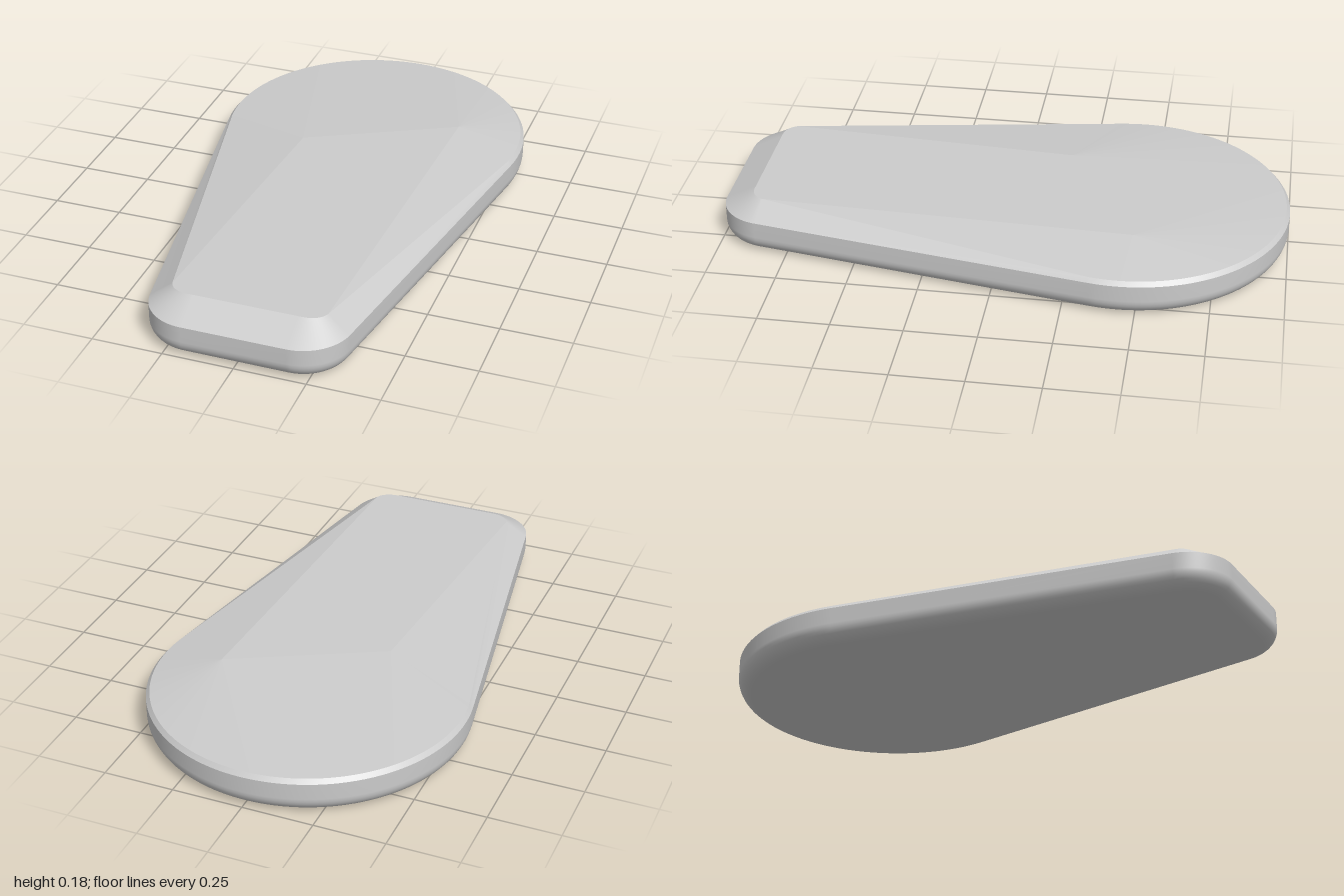
import * as THREE from 'three';

const V = (x, y, z) => new THREE.Vector3(x, y, z);
const BACK_R = 0.563, BACK_Z = -0.437;   // large rounded back
const FRONT_R = 0.17, FRONT_Z = 0.83;    // small front corners
const TILT = 0.17;                       // angle of the tapering sides
const TOP = 0.176, RIM = 0.12;
const FRONT_X = (BACK_R - FRONT_R - (FRONT_Z - BACK_Z) * Math.sin(TILT)) / Math.cos(TILT);
const CORNER = 16, BACK = 72;

// Outline: three tangent arcs, each sample holding its centre, radius, normal angle
const outline = [];
function arc(cx, cz, r, from, to, n, front) {
  for (let i = 0; i <= n; i++) outline.push({ cx, cz, r, a: from + (to - from) * i / n, front });
}
arc(FRONT_X, FRONT_Z, FRONT_R, TILT, Math.PI / 2, CORNER, true);
arc(-FRONT_X, FRONT_Z, FRONT_R, Math.PI / 2, Math.PI - TILT, CORNER, true);
arc(0, BACK_Z, BACK_R, Math.PI - TILT, 2 * Math.PI + TILT, BACK, false);

// Outline ring pulled in by an inset at a height (both may vary along it)
function ring(inset, height) {
  return outline.map((o) => {
    const r = o.r - inset(o);
    return V(o.cx + r * Math.cos(o.a), height(o), o.cz + r * Math.sin(o.a));
  });
}

// Smooth surface through a stack of rings, lowest first
function loft(rings) {
  const n = outline.length, index = [];
  for (let k = 0; k < rings.length - 1; k++) {
    for (let i = 0; i < n; i++) {
      const j = (i + 1) % n, a = k * n, b = a + n;
      index.push(a + i, b + i, a + j, a + j, b + i, b + j);
    }
  }
  const g = new THREE.BufferGeometry().setFromPoints(rings.flat());
  g.setIndex(index);
  g.computeVertexNormals();
  return g;
}

// Faceted surface from a list of triangle corners
function facets(points) {
  const g = new THREE.BufferGeometry().setFromPoints(points);
  g.computeVertexNormals();
  return g;
}

export function createModel() {
  const group = new THREE.Group();
  const material = new THREE.MeshStandardMaterial({ color: 0xcccccc });
  const add = (name, geometry) => {
    const mesh = new THREE.Mesh(geometry, material);
    mesh.name = name;
    group.add(mesh);
  };

  // Side wall with a rounded lower edge
  const fillet = 0.062, rings = [];
  for (let i = 0; i <= 8; i++) {
    const t = i / 8 * Math.PI / 2;
    rings.push(ring(() => fillet * (1 - Math.sin(t)), () => fillet * (1 - Math.cos(t))));
  }
  const rim = ring(() => 0, () => RIM);
  add('sideWall', loft([...rings, rim]));

  // Flat underside
  const under = [];
  rings[0].forEach((p, i, r) => under.push(V(0, 0, 0), p, r[(i + 1) % r.length]));
  add('underside', facets(under));

  // Bevel: a thin lip at the back, widening towards the front
  const inner = ring(
    (o) => (o.front ? 0.078 + 0.032 * Math.max(0, Math.sin(o.a)) ** 2 : 0.013),
    (o) => (o.front ? TOP : 0.135));
  add('bevel', loft([rim, inner]));

  // Top: flat plateau falling away to the sides and back from a slanted ridge
  const left = V(-0.2, TOP, -0.2), right = V(0.32, TOP, -0.47);
  const n = inner.length, frontEnd = 2 * CORNER + 1;
  const split = frontEnd + 1 + Math.round(BACK * 0.5 * 0.7);
  const top = [];
  const fan = (apex, from, to) => {
    for (let i = from; i < to; i++) top.push(apex, inner[(i + 1) % n], inner[i % n]);
  };
  fan(right, 0, frontEnd);
  top.push(right, left, inner[frontEnd]);
  fan(left, frontEnd, split);
  top.push(left, right, inner[split]);
  fan(right, split, n);
  add('topFace', facets(top));

  return group;
}
